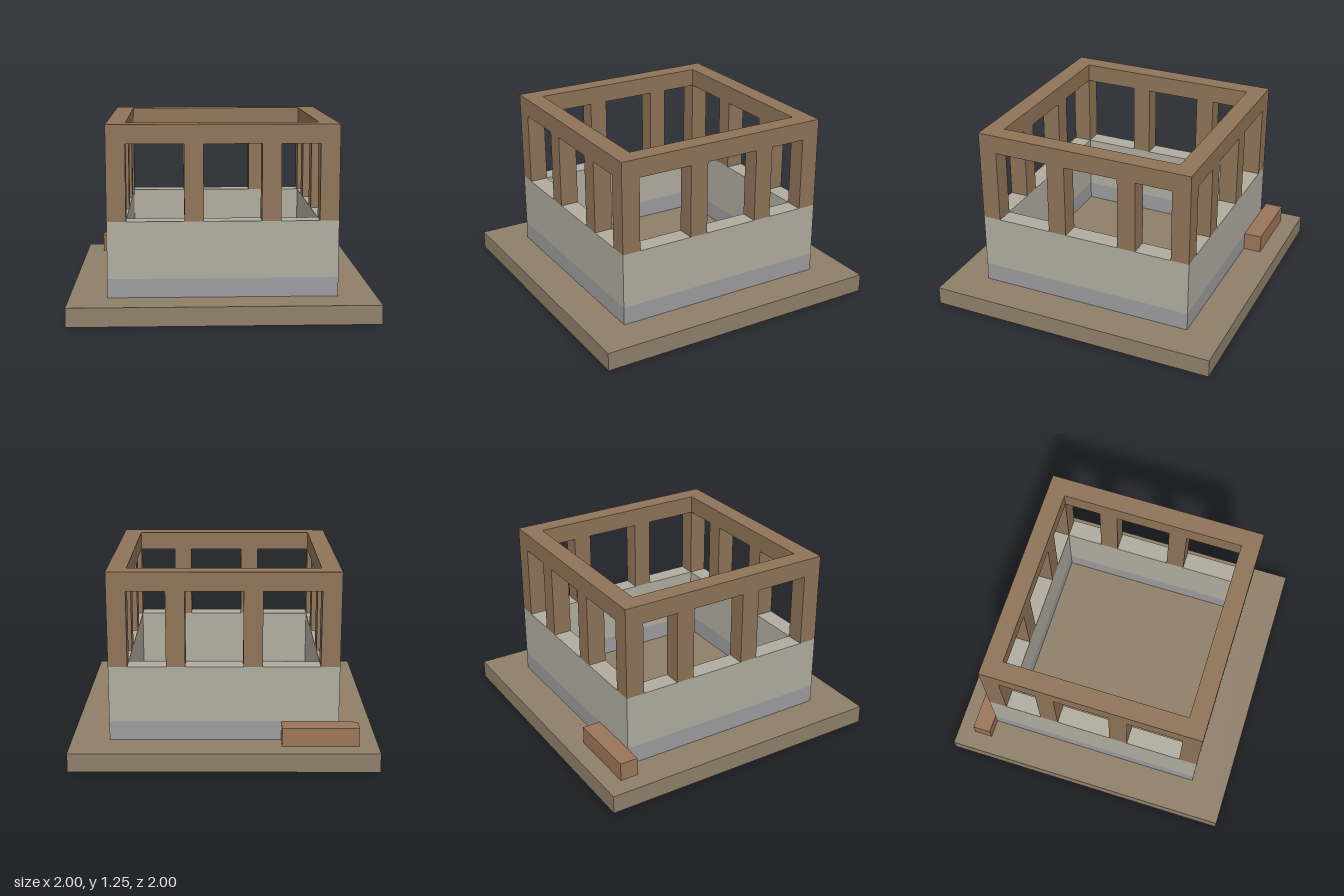
import * as THREE from 'three';
import { mergeGeometries } from 'three/addons/utils/BufferGeometryUtils.js';

// Vertical panels standing on a plan path of [x, z] points
function walls(path, y0, y1) {
  const pos = [];
  for (let i = 0; i + 1 < path.length; i++) {
    const [ax, az] = path[i], [bx, bz] = path[i + 1];
    pos.push(ax, y0, az, bx, y0, bz, bx, y1, bz, ax, y0, az, bx, y1, bz, ax, y1, az);
  }
  const g = new THREE.BufferGeometry();
  g.setAttribute('position', new THREE.Float32BufferAttribute(pos, 3));
  g.computeVertexNormals();
  return g;
}

// Horizontal sheet from a plan outline, with an optional hole
function sheet(outline, y, hole, down = false) {
  const toPlan = (p) => p.map(([x, z]) => new THREE.Vector2(x, -z));
  const shape = new THREE.Shape(toPlan(outline));
  if (hole) shape.holes.push(new THREE.Path(toPlan(hole)));
  const g = new THREE.ShapeGeometry(shape).toNonIndexed();
  g.deleteAttribute('uv');
  g.rotateX(-Math.PI / 2);
  if (down) g.scale(1, -1, 1), flip(g);
  g.translate(0, y, 0);
  return g;
}

// Reverses the winding and recomputes normals
function flip(g) {
  const p = g.attributes.position;
  for (let i = 0; i < p.count; i += 3) {
    const a = [p.getX(i), p.getY(i), p.getZ(i)];
    p.setXYZ(i, p.getX(i + 1), p.getY(i + 1), p.getZ(i + 1));
    p.setXYZ(i + 1, ...a);
  }
  g.computeVertexNormals();
}

const rect = (x0, x1, z0, z1) => [[x0, z1], [x1, z1], [x1, z0], [x0, z0]];
const square = (r) => rect(-r, r, -r, r);
const closed = (p) => [...p, p[0]];
const inward = (p) => closed(p).reverse();

export function createModel() {
  const model = new THREE.Group();
  const add = (name, color, parts) => {
    const material = new THREE.MeshStandardMaterial({ color, side: THREE.DoubleSide });
    const mesh = new THREE.Mesh(mergeGeometries(parts), material);
    mesh.name = name;
    model.add(mesh);
  };
  const wood = 0x8f7357, OUT = 0.75, IN = 0.625;
  const outer = square(OUT), inner = square(IN);

  // Base plate, open below and under the hollow wall and block
  const footprint = [[-OUT, OUT], [OUT, OUT], [OUT, -OUT], [-0.375, -OUT],
    [-0.375, -0.875], [-0.875, -0.875], [-0.875, -OUT], [-OUT, -OUT]];
  add('basePlate', 0x8f7f69, [
    walls(closed(square(1)), 0, 0.125),
    sheet(square(1), 0.125, footprint),
    sheet(inner, 0.125),
  ]);

  // Block on the plate, joined to the back wall
  add('stepBlock', 0x9b7558, [
    walls([[-0.375, -OUT], [-0.375, -0.875], [-0.875, -0.875], [-0.875, -OUT], [-OUT, -OUT]], 0.125, 0.25),
    sheet(rect(-0.875, -0.375, -0.875, -OUT), 0.25),
  ]);

  // Lower wall course, open where the block meets it
  add('wallFooting', 0x9c9c9e, [
    walls([[-OUT, -OUT], [-OUT, OUT], [OUT, OUT], [OUT, -OUT], [-0.375, -OUT]], 0.125, 0.25),
    walls(inward(inner), 0.125, 0.25),
  ]);

  // Plan rectangles of the window openings on all four sides
  const openings = [];
  for (const [a, b] of [[-0.625, -0.25], [-0.125, 0.25], [0.375, 0.625]]) {
    openings.push(rect(a, b, IN, OUT), rect(a, b, -OUT, -IN));
    openings.push(rect(IN, OUT, -b, -a), rect(-OUT, -IN, -b, -a));
  }

  // Upper wall with sills between the posts
  add('wall', 0xb0ac9f, [
    walls(closed(outer), 0.25, 0.625),
    walls(inward(inner), 0.25, 0.625),
    ...openings.map((o) => sheet(o, 0.625)),
  ]);

  // Corner posts and intermediate posts
  const posts = [];
  for (const s of [-0.6875, 0.6875]) {
    posts.push([s, s], [s, -s]);
    for (const t of [-0.1875, 0.3125]) posts.push([t, s], [s, -t]);
  }
  const h = 0.0625;
  add('posts', wood, posts.map(([x, z]) =>
    walls(closed(rect(x - h, x + h, z - h, z + h)), 0.625, 1.125)));

  // Top beam ring with its underside over each opening
  add('topBeam', wood, [
    walls(closed(outer), 1.125, 1.25),
    walls(inward(inner), 1.125, 1.25),
    sheet(outer, 1.25, inner),
    ...openings.map((o) => sheet(o, 1.125, null, true)),
  ]);

  return model;
}
